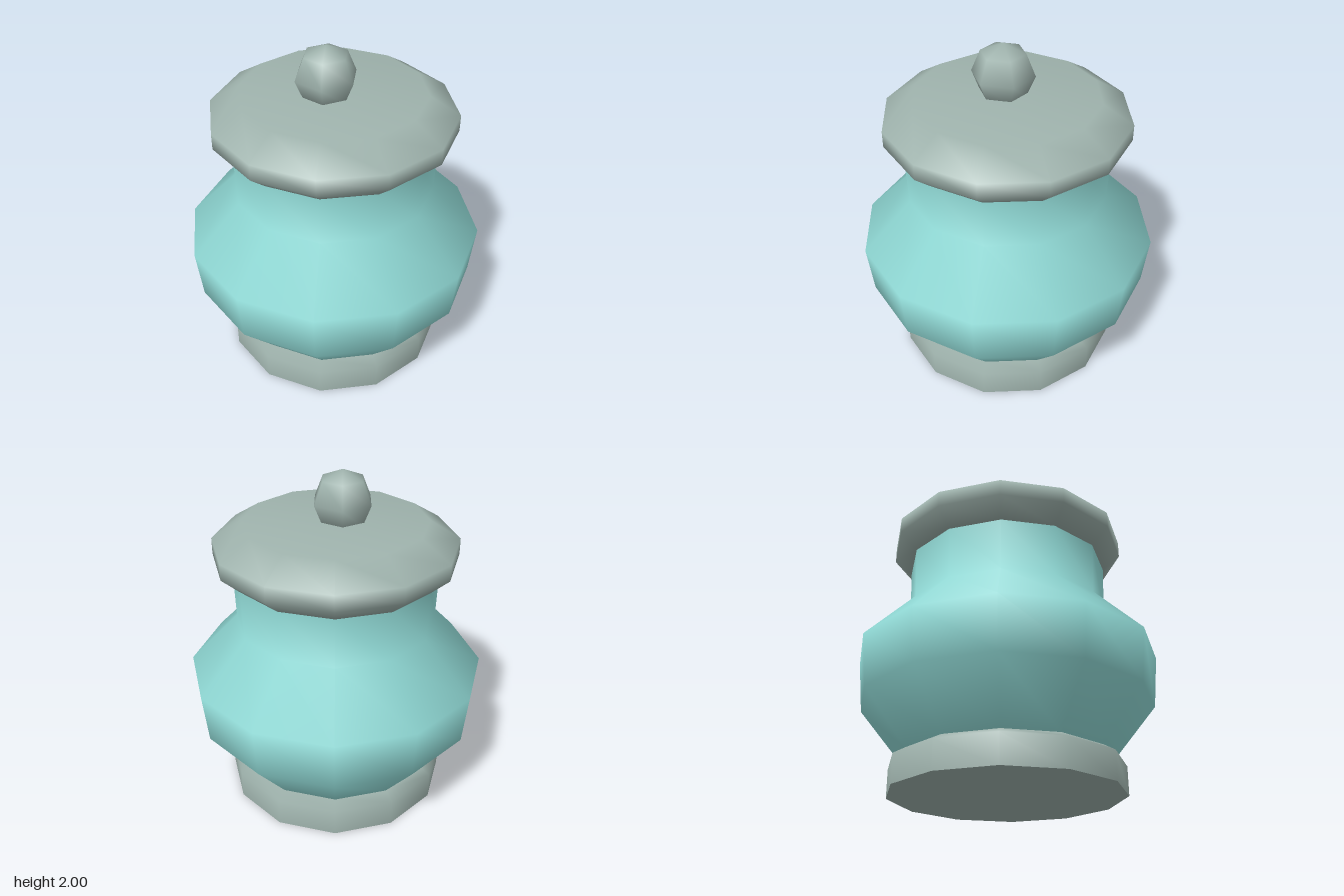
import * as THREE from 'three';

const SIDES = 12;

export function createModel() {
  const group = new THREE.Group();
  const glaze = new THREE.MeshStandardMaterial({ name: 'aqua glaze', color: 0x92dcd8 });
  const stone = new THREE.MeshStandardMaterial({ name: 'grey stone', color: 0x9fb3ad });

  const add = (name, geometry, material) => {
    const mesh = new THREE.Mesh(geometry, material);
    mesh.name = name;
    group.add(mesh);
    return mesh;
  };
  // Twelve-sided turned part from [radius, height] pairs, bottom to top
  const turned = (profile) =>
    new THREE.LatheGeometry(profile.map(([r, y]) => new THREE.Vector2(r, y)), SIDES);

  // Foot ring with a crisp flat underside
  add('foot', turned([[0.67, 0], [0.67, 0.165], [0.6, 0.205], [0, 0.205]]), stone);
  add('footUnderside', new THREE.CircleGeometry(0.67, SIDES).rotateX(Math.PI / 2), stone);

  // Bulging body and straight neck
  add('body', turned([[0.6, 0.2], [0.85, 0.51], [0.88, 0.81], [0.59, 1.11], [0.6, 1.42]]), glaze);

  // Bevelled lid
  add('lid', turned([[0, 1.415], [0.6, 1.415], [0.705, 1.51], [0.705, 1.605], [0.53, 1.715], [0, 1.715]]), stone);

  // Slightly off-centre faceted knob
  const knob = add('knob', new THREE.SphereGeometry(0.181, 6, 4), stone);
  knob.position.set(-0.018, 1.819, 0.045);

  return group;
}
